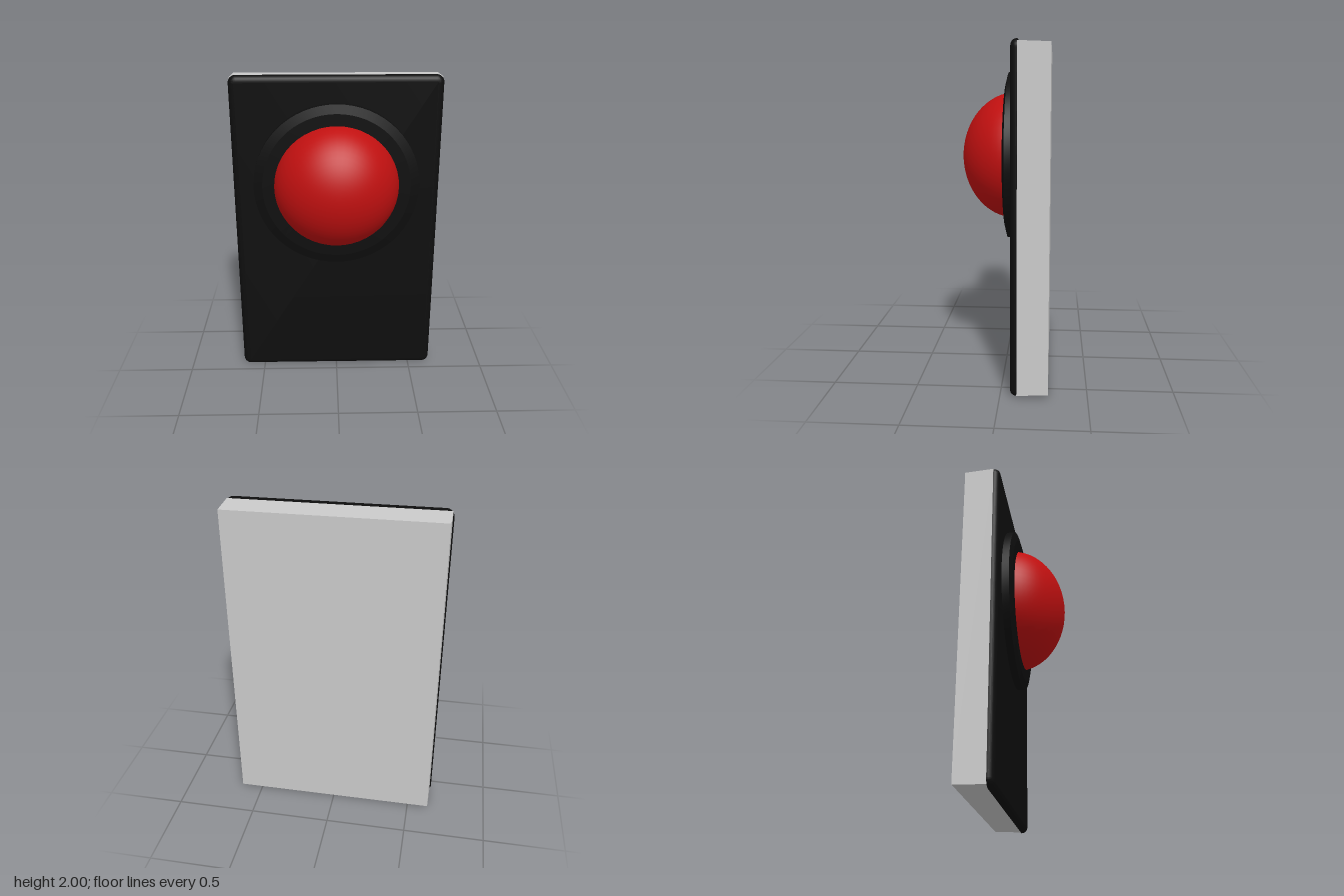
import * as THREE from 'three';
import { toCreasedNormals } from 'three/addons/utils/BufferGeometryUtils.js';

const black = new THREE.MeshStandardMaterial({ name: 'black plastic', color: 0x0e0e0e });
const red = new THREE.MeshStandardMaterial({ name: 'red lens', color: 0xc01010 });
const grey = new THREE.MeshStandardMaterial({ name: 'grey housing', color: 0xcacaca });

const LENS_Y = 1.325;

function roundedRect(w, h, r) {
  const s = new THREE.Shape();
  s.absarc(w / 2 - r, h / 2 - r, r, 0, Math.PI / 2);
  s.absarc(-w / 2 + r, h / 2 - r, r, Math.PI / 2, Math.PI);
  s.absarc(-w / 2 + r, -h / 2 + r, r, Math.PI, Math.PI * 1.5);
  s.absarc(w / 2 - r, -h / 2 + r, r, Math.PI * 1.5, Math.PI * 2);
  s.closePath();
  return s;
}

export function createModel() {
  const model = new THREE.Group();
  const add = (name, geometry, material, y, z) => {
    const mesh = new THREE.Mesh(geometry, material);
    mesh.name = name;
    mesh.position.set(0, y, z);
    model.add(mesh);
    return mesh;
  };

  // Rear housing, tapering slightly towards the back
  const box = new THREE.BoxGeometry(1.274, 1.976, 0.18);
  const bp = box.attributes.position;
  for (let i = 0; i < bp.count; i++) {
    if (bp.getZ(i) < 0) bp.setXY(i, bp.getX(i) * 0.993, bp.getY(i) * 0.993);
  }
  box.computeVertexNormals();
  add('housing', box, grey, 1, -0.185);

  // Front plate: rounded front edge, flat back
  const bevel = 0.035;
  const plate = new THREE.ExtrudeGeometry(roundedRect(1.29 - 2 * bevel, 2 - 2 * bevel, 0.012), {
    depth: 0.003, bevelThickness: bevel, bevelSize: bevel, bevelSegments: 6, curveSegments: 6,
  });
  const pp = plate.attributes.position;
  for (let i = 0; i < pp.count; i++) pp.setZ(i, Math.max(pp.getZ(i), 0));
  add('frontPlate', toCreasedNormals(plate, 0.6), black, 1, -0.096);

  // Bezel ring with a chamfered outer edge
  const profile = [[0.38, -0.06], [0.515, -0.06], [0.515, -0.014], [0.46, 0], [0.38, 0]]
    .map(([r, h]) => new THREE.Vector2(r, h));
  const ring = toCreasedNormals(new THREE.LatheGeometry(profile, 64).rotateX(Math.PI / 2), 0.2);
  add('bezelRing', ring, black, LENS_Y, 0);

  // Flattened half-dome lens
  const dome = new THREE.SphereGeometry(0.393, 48, 16, 0, Math.PI * 2, 0, Math.PI / 2)
    .rotateX(Math.PI / 2).scale(1, 1, 0.33 / 0.393);
  add('lens', dome, red, LENS_Y, -0.058);

  return model;
}
